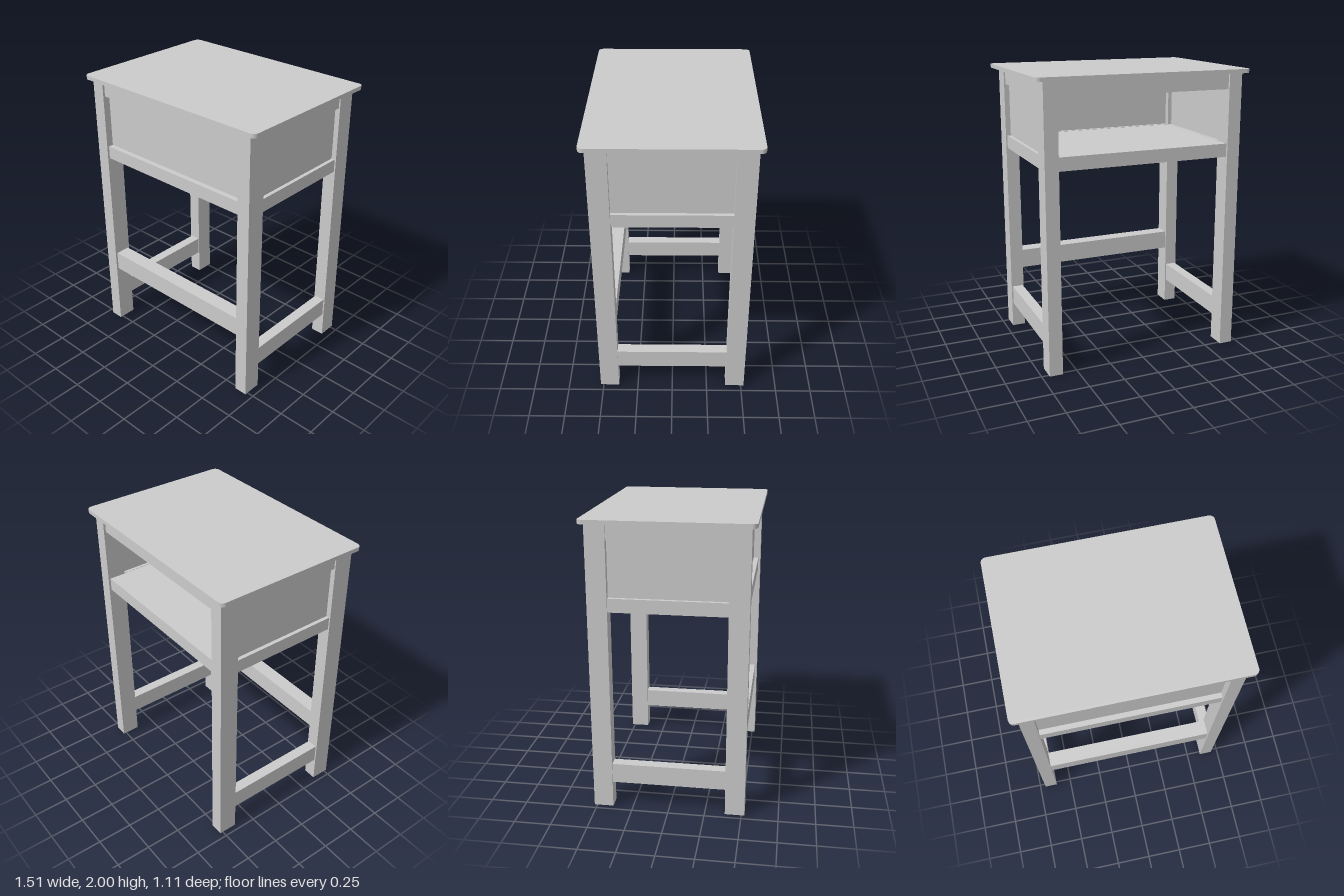
import * as THREE from 'three';

const material = new THREE.MeshStandardMaterial({ color: 0xcccccc });

// Box given by its limits on each axis
function box(parent, name, [x0, x1], [y0, y1], [z0, z1]) {
  const mesh = new THREE.Mesh(new THREE.BoxGeometry(x1 - x0, y1 - y0, z1 - z0), material);
  mesh.position.set((x0 + x1) / 2, (y0 + y1) / 2, (z0 + z1) / 2);
  mesh.name = name;
  parent.add(mesh);
}

// Range [a, b] on the positive or negative side
const onSide = (s, a, b) => (s > 0 ? [a, b] : [-b, -a]);

// Rounded rectangular board lying flat
function makeTop(w, d, r, y0, y1) {
  const x = w / 2, z = d / 2, q = Math.PI / 2;
  const shape = new THREE.Shape();
  shape.absarc(x - r, z - r, r, 0, q);
  shape.absarc(-x + r, z - r, r, q, 2 * q);
  shape.absarc(-x + r, -z + r, r, 2 * q, 3 * q);
  shape.absarc(x - r, -z + r, r, 3 * q, 4 * q);
  shape.closePath();
  const geo = new THREE.ExtrudeGeometry(shape, { depth: y1 - y0, bevelEnabled: false, curveSegments: 8 });
  geo.rotateX(-q).translate(0, y0, 0);
  const mesh = new THREE.Mesh(geo, material);
  mesh.name = 'deskTop';
  return mesh;
}

export function createModel() {
  const desk = new THREE.Group();
  desk.name = 'schoolDesk';
  desk.add(makeTop(1.514, 1.11, 0.035, 1.972, 2));

  const frame = new THREE.Group();
  frame.name = 'frame';
  frame.position.x = -0.005;
  desk.add(frame);

  const legX = [0.61, 0.704], legZ = [0.388, 0.521];
  const railX = [0.618, 0.694], railZ = [0.4, 0.506];
  const acrossX = [-legX[0], legX[0]], acrossZ = [-legZ[0], legZ[0]];
  const upper = [1.865, 1.972], lower = [1.4, 1.492];

  for (const s of [1, -1]) {
    const sideName = s > 0 ? 'left' : 'right';
    const endName = s > 0 ? 'front' : 'back';

    // Legs
    for (const t of [1, -1])
      box(frame, `${t > 0 ? 'front' : 'back'}Leg`, onSide(s, ...legX), [0, 1.972], onSide(t, ...legZ));

    // Rails around the compartment
    box(frame, `${endName}UpperRail`, acrossX, upper, onSide(s, ...railZ));
    box(frame, `${endName}LowerRail`, acrossX, lower, onSide(s, ...railZ));
    box(frame, `${sideName}UpperRail`, onSide(s, ...railX), upper, acrossZ);
    box(frame, `${sideName}LowerRail`, onSide(s, ...railX), lower, acrossZ);

    // Side panels and low side stretchers
    box(frame, `${sideName}Panel`, onSide(s, 0.64, 0.668), [lower[1], upper[0]], acrossZ);
    box(frame, `${sideName}Stretcher`, onSide(s, ...railX), [0.182, 0.32], acrossZ);
  }

  // Front panel and stretcher; the back stays open
  box(frame, 'frontPanel', acrossX, [lower[1], upper[0]], [0.43, 0.47]);
  box(frame, 'frontStretcher', acrossX, [0.462, 0.6], railZ);

  // Compartment floor between the lower rails
  box(frame, 'shelf', [-railX[0], railX[0]], [1.45, 1.49], [-railZ[0], railZ[0]]);

  return desk;
}
